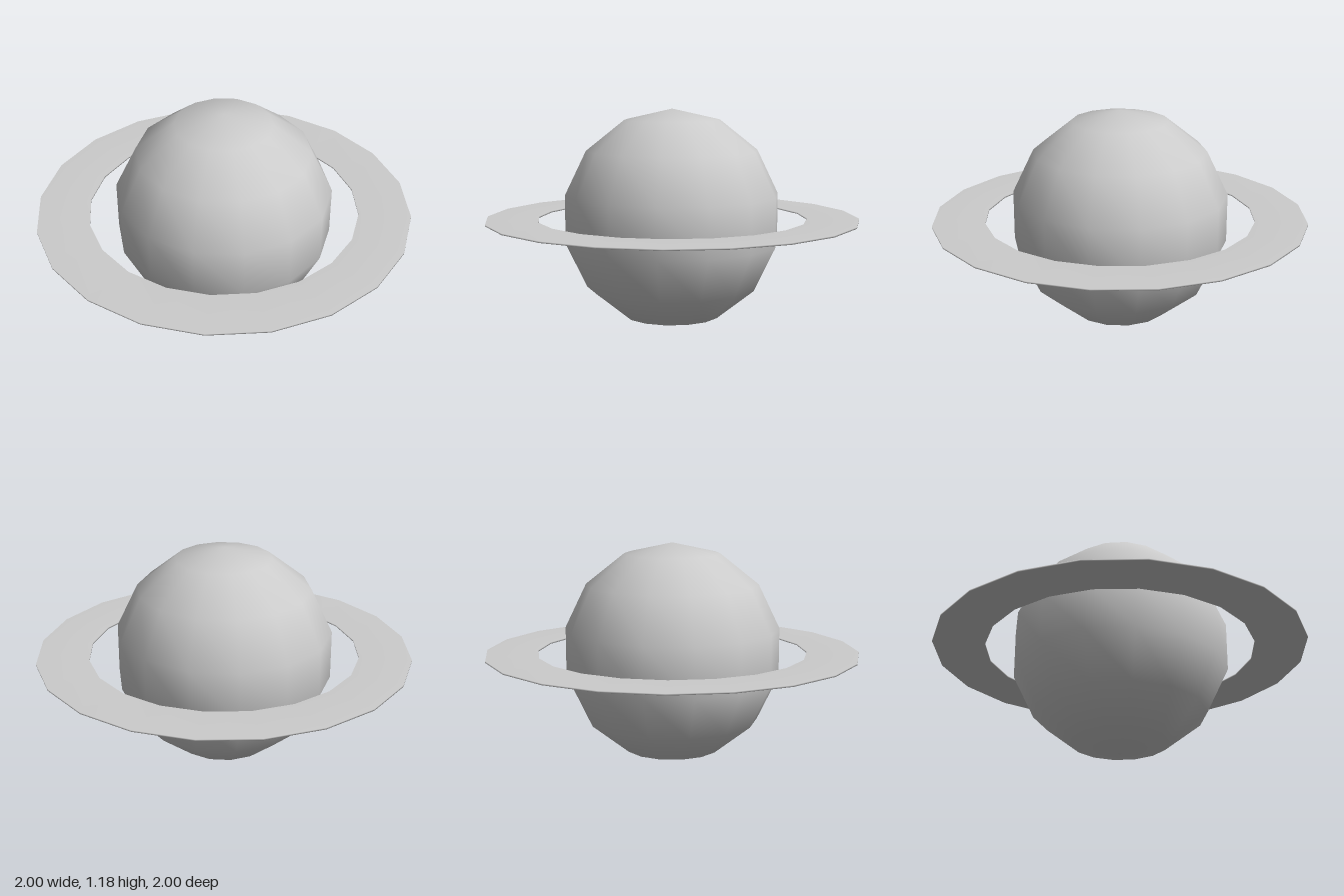
import * as THREE from 'three';

export function createModel() {
  const group = new THREE.Group();
  const material = new THREE.MeshStandardMaterial({ color: 0xcccccc });
  const centreY = 0.59;

  // Low-poly globe with smooth shading, turned so a vertex faces the front
  const planet = new THREE.Mesh(new THREE.SphereGeometry(0.588, 14, 7), material);
  planet.name = 'planet';
  planet.rotation.y = Math.PI / 2;
  planet.position.y = centreY;
  group.add(planet);

  // Thin flat ring: closed cross-section, starting mid-underside, turned about y
  const inner = 0.722, outer = 1, half = 0.004;
  const profile = [
    [(inner + outer) / 2, -half],
    [outer, -half],
    [outer, half],
    [inner, half],
    [inner, -half],
    [(inner + outer) / 2, -half],
  ].map(([r, y]) => new THREE.Vector2(r, y));
  const ring = new THREE.Mesh(new THREE.LatheGeometry(profile, 20), material);
  ring.name = 'ring';
  ring.position.y = centreY;
  group.add(ring);

  return group;
}
